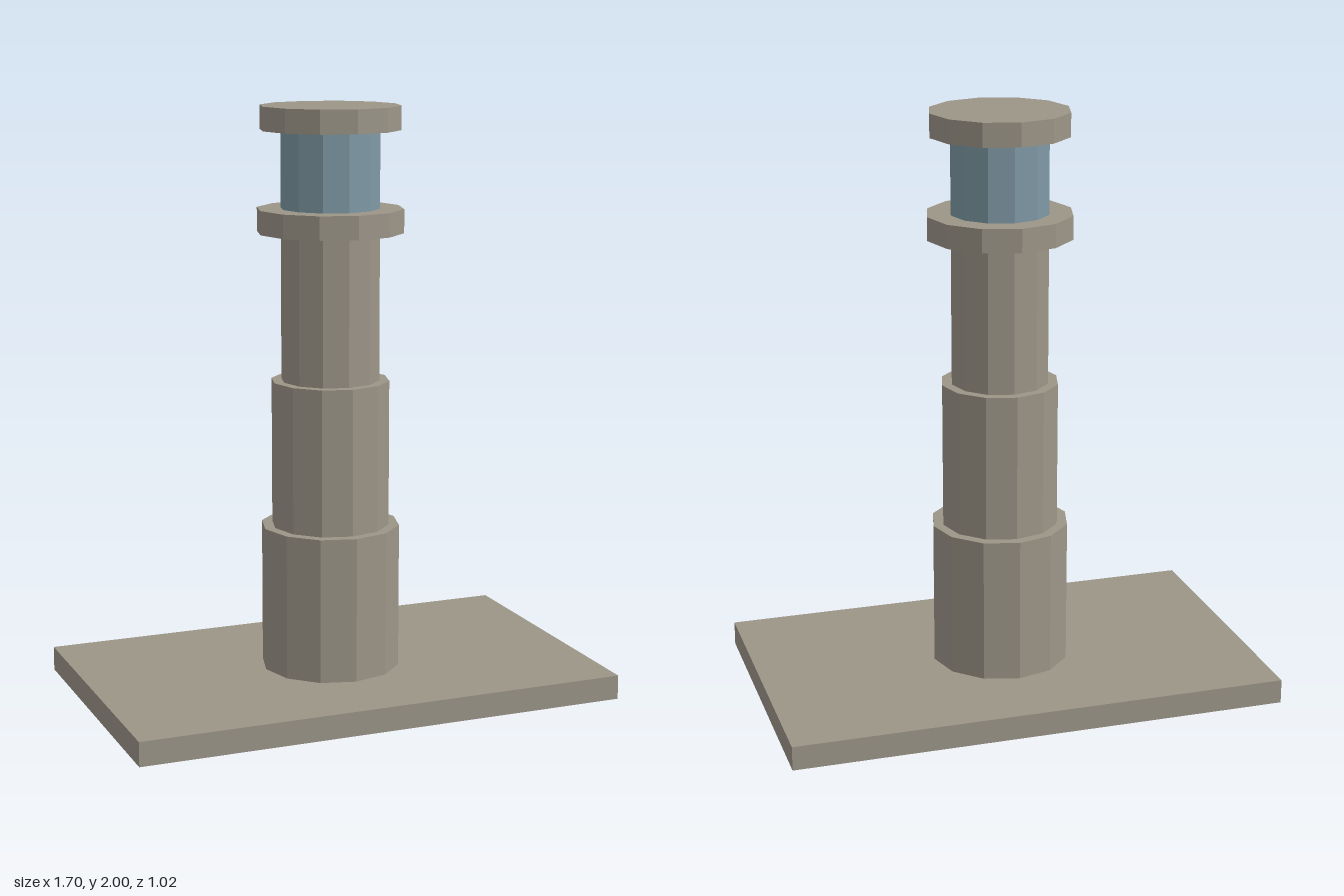
import * as THREE from 'three';

export function createModel() {
  const model = new THREE.Group();
  model.name = 'lighthouse';

  const stone = new THREE.MeshStandardMaterial({ color: 0x9c9588, flatShading: true });
  stone.name = 'stone';
  const glass = new THREE.MeshStandardMaterial({ color: 0x7f99a5, flatShading: true });
  glass.name = 'glass';

  // Rectangular plinth
  const plinth = new THREE.Mesh(new THREE.BoxGeometry(1.7, 0.083, 1.025), stone);
  plinth.name = 'plinth';
  plinth.position.y = 0.0415;
  model.add(plinth);

  // Stacked twelve-sided drums: name, radius, bottom, top, material
  const drums = [
    ['lowerTower', 0.237, 0.083, 0.58, stone],
    ['middleTower', 0.201, 0.58, 1.08, stone],
    ['upperTower', 0.167, 1.08, 1.58, stone],
    ['gallery', 0.248, 1.58, 1.66, stone],
    ['lanternRoom', 0.167, 1.66, 1.92, glass],
    ['roof', 0.237, 1.92, 2.0, stone],
  ];
  for (const [name, radius, bottom, top, material] of drums) {
    const drum = new THREE.Mesh(
      new THREE.CylinderGeometry(radius, radius, top - bottom, 12), material);
    drum.name = name;
    drum.position.y = (bottom + top) / 2;
    model.add(drum);
  }
  return model;
}
